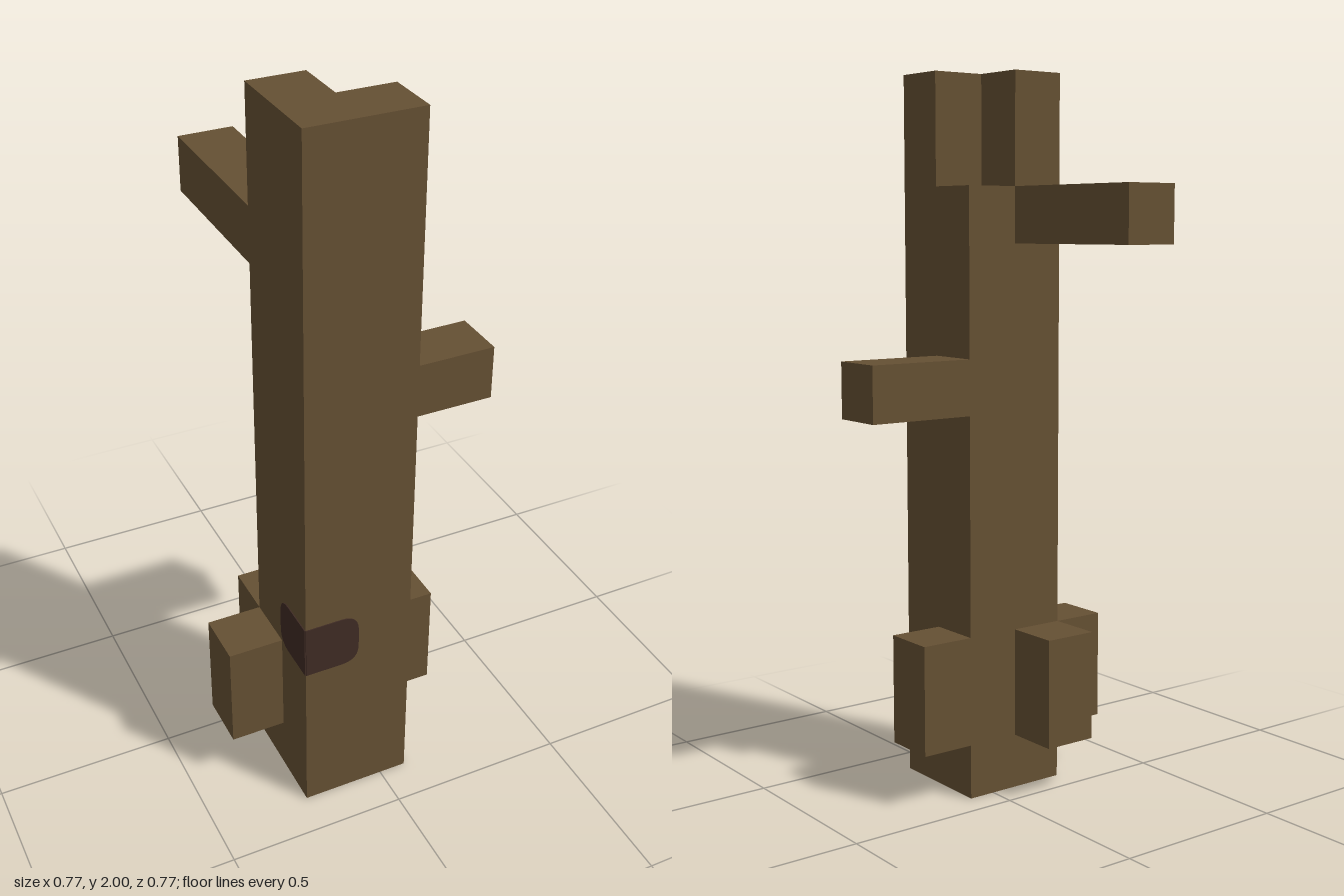
import * as THREE from 'three';

const U = 2 / 13; // block unit: the trunk is 13 units tall

export function createModel() {
  const model = new THREE.Group();
  model.name = 'deadTree';

  const bark = new THREE.MeshStandardMaterial({ color: 0x655033 });
  bark.name = 'bark';
  const hollow = new THREE.MeshStandardMaterial({ color: 0x3f2b24 });
  hollow.name = 'dark hollow';

  // Box from its lowest corner and its size, both in block units
  function block(name, [x, y, z], [w, h, d]) {
    const mesh = new THREE.Mesh(new THREE.BoxGeometry(w * U, h * U, d * U), bark);
    mesh.position.set((x + w / 2) * U, (y + h / 2) * U, (z + d / 2) * U);
    mesh.name = name;
    model.add(mesh);
  }

  // Trunk, with a broken L-shaped top
  block('trunk', [-1.5, 0, 0.5], [2, 11, 2]);
  const ell = new THREE.Shape(
    [[0, 0], [2, 0], [2, 1], [1, 1], [1, 2], [0, 2]].map(([x, y]) => new THREE.Vector2(x * U, y * U))
  );
  const top = new THREE.Mesh(new THREE.ExtrudeGeometry(ell, { depth: 2 * U, bevelEnabled: false }), bark);
  top.rotation.x = -Math.PI / 2;
  top.position.set(-1.5 * U, 11 * U, 2.5 * U);
  top.name = 'brokenTop';
  model.add(top);

  // Branches
  block('backBranch', [-1.5, 10, -2.5], [1, 1, 3]);
  block('leftBranch', [0.5, 7, 0.5], [2, 1, 1]);

  // Roots
  block('leftRoot', [0.5, 1, 0.5], [1, 2, 1]);
  block('rightRoot', [-2.5, 1, 0.5], [1, 2, 1]);
  block('backRoot', [-1.5, 1, -0.5], [1, 2, 1]);

  // Hollow wrapped round the front right corner: two thin plates, rounded away from the corner
  function hollowPlate(name, dir, turn) {
    const r = 0.05, w = U * dir, k = r * dir;
    const s = new THREE.Shape();
    s.moveTo(0, 0);
    s.lineTo(w - k, 0);
    s.quadraticCurveTo(w, 0, w, r);
    s.lineTo(w, U - r);
    s.quadraticCurveTo(w, U, w - k, U);
    s.lineTo(0, U);
    s.closePath();
    const geo = new THREE.ExtrudeGeometry(s, { depth: 0.003, bevelEnabled: false, curveSegments: 6 });
    const mesh = new THREE.Mesh(geo, hollow);
    mesh.rotation.y = turn;
    mesh.position.set(-1.5 * U, 3 * U, 2.5 * U);
    mesh.name = name;
    model.add(mesh);
  }
  hollowPlate('hollowFront', 1, 0);
  hollowPlate('hollowSide', -1, -Math.PI / 2);

  return model;
}
